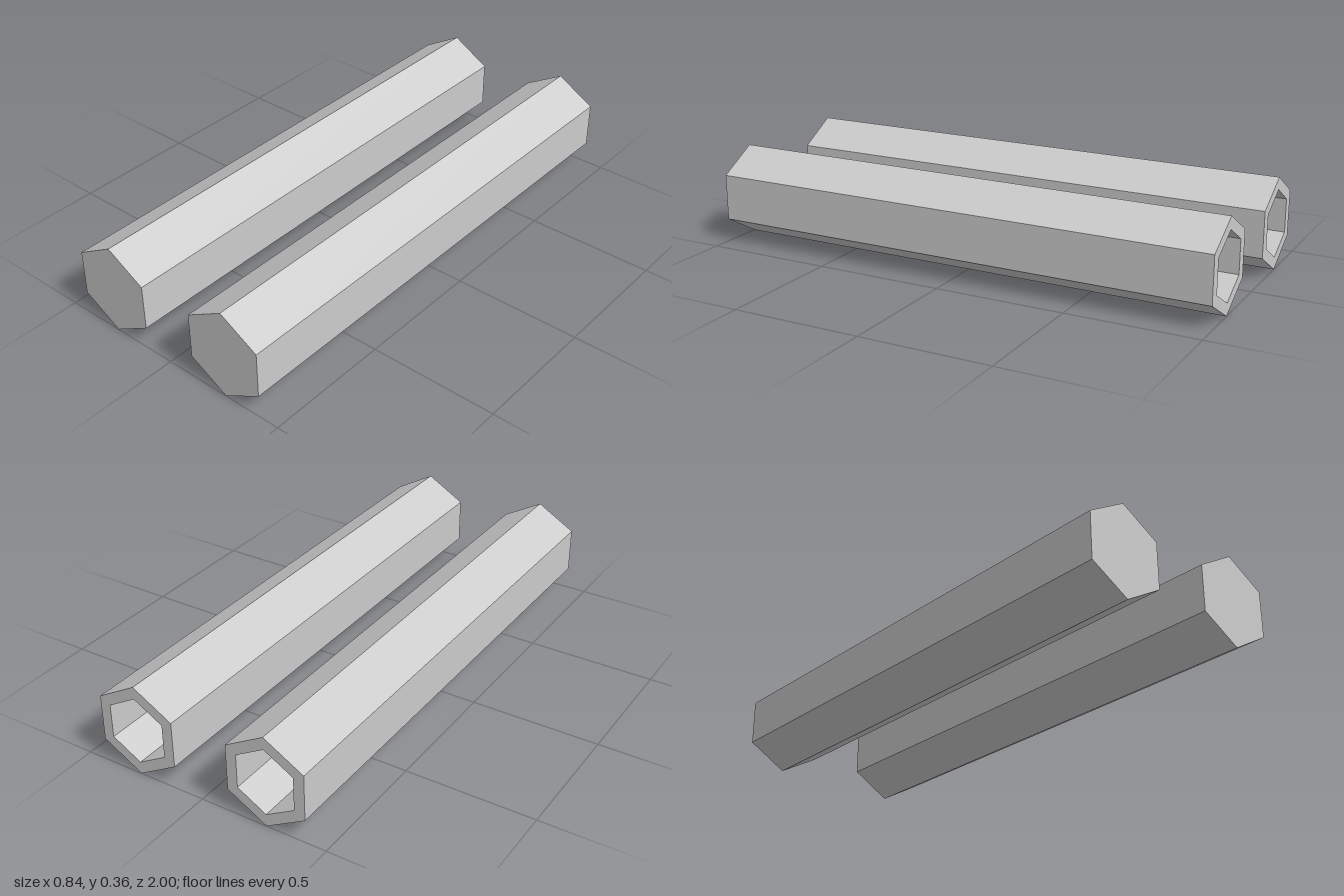
import * as THREE from 'three';

const R = 0.178;      // outer corner radius, also the centre height
const BORE = 0.13;    // inner corner radius
const WALL = 0.05;    // thickness of the closed front end
const OFFSET = 0.266; // tube distance from the middle

// Six-sided tube along z: open at the back, closed at the front
function hexTubeGeometry() {
  const profile = [
    [0, 1 - WALL], [BORE, 1 - WALL], // inner end face
    [BORE, -1], [R, -1],             // bore and open rim
    [R, 1], [0, 1],                  // outside and closed front
  ].map(([r, y]) => new THREE.Vector2(r, y));
  const geometry = new THREE.LatheGeometry(profile, 6).rotateX(Math.PI / 2).toNonIndexed();
  geometry.computeVertexNormals();
  return geometry;
}

export function createModel() {
  const model = new THREE.Group();
  model.name = 'hexagonalTubes';
  const material = new THREE.MeshStandardMaterial({ color: 0xcccccc, flatShading: true });
  const geometry = hexTubeGeometry();

  // Matching pair, side by side
  for (const [name, side] of [['leftTube', 1], ['rightTube', -1]]) {
    const tube = new THREE.Mesh(geometry, material);
    tube.name = name;
    tube.position.set(side * OFFSET, R, 0);
    model.add(tube);
  }
  return model;
}
